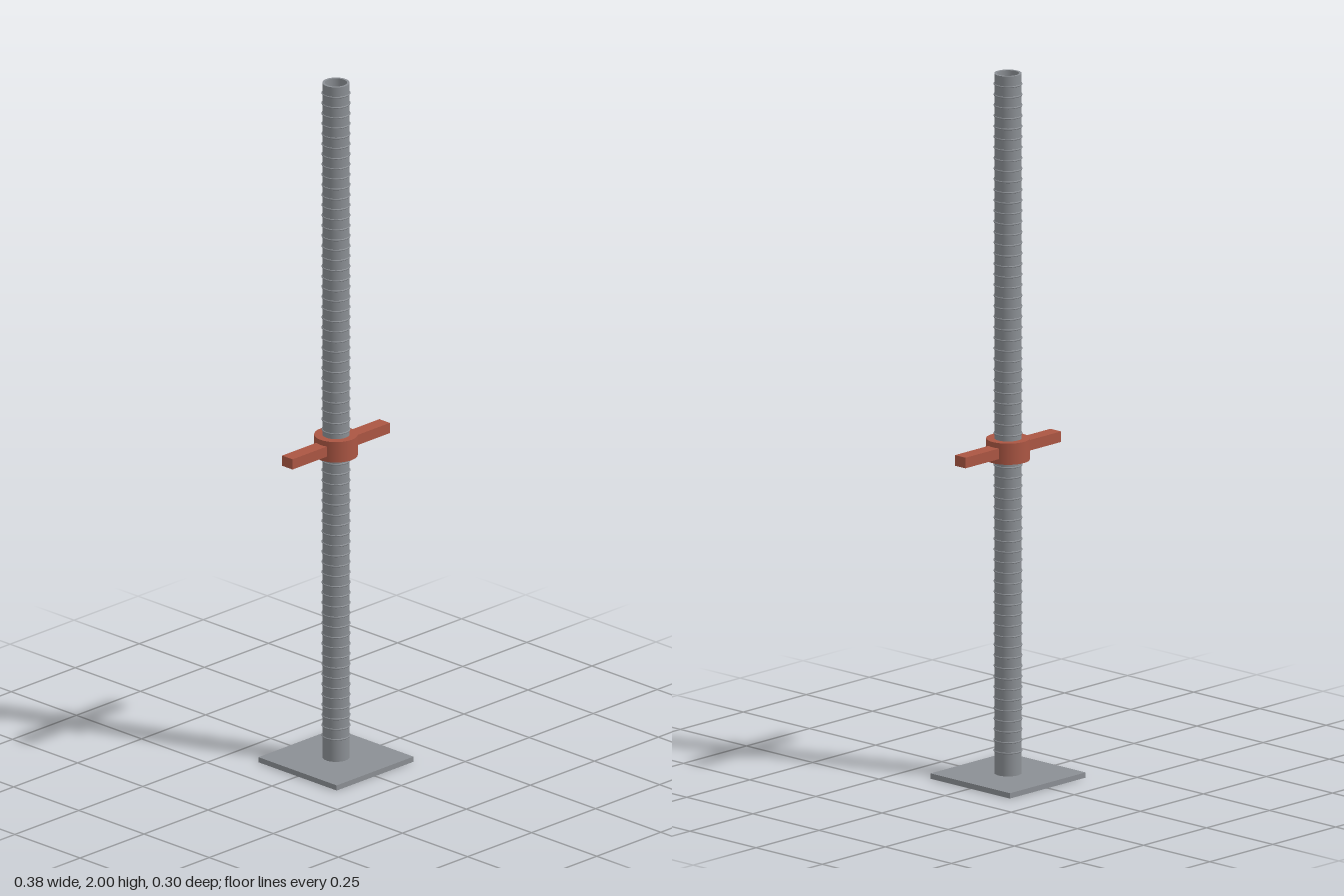
import * as THREE from 'three';

export function createModel() {
  const model = new THREE.Group();
  model.name = 'screwJack';
  const steel = new THREE.MeshStandardMaterial({ color: 0x8b8f94 });
  steel.name = 'galvanised steel';
  const red = new THREE.MeshStandardMaterial({ color: 0xab5643 });
  red.name = 'red paint';

  const add = (name, geometry, material, x, y, z) => {
    const mesh = new THREE.Mesh(geometry, material);
    mesh.name = name;
    mesh.position.set(x, y, z);
    model.add(mesh);
    return mesh;
  };

  // Closed ring with a rectangular section, hard edges between its four walls
  const pipe = (name, outer, inner, y0, y1, material) => {
    const corners = [[outer, y0], [outer, y1], [inner, y1], [inner, y0]];
    const group = new THREE.Group();
    group.name = name;
    corners.forEach((a, i) => {
      const b = corners[(i + 1) % 4];
      const wall = new THREE.LatheGeometry([new THREE.Vector2(...a), new THREE.Vector2(...b)], 32);
      group.add(new THREE.Mesh(wall, material));
      group.children[i].name = `${name}Wall`;
    });
    model.add(group);
  };

  // Base plate and hollow spindle
  add('basePlate', new THREE.BoxGeometry(0.3, 0.015, 0.3), steel, 0, 0.0075, 0);
  pipe('spindle', 0.0375, 0.03, 0.015, 2, steel);

  // Thread ridges along the spindle
  const ridge = new THREE.TorusGeometry(0.0375, 0.0025, 6, 32).rotateX(Math.PI / 2);
  for (let y = 0.08; y < 1.98; y += 0.03) add('threadRidge', ridge, steel, 0, y, 0);

  // Adjusting nut with two handles
  pipe('adjustingNut', 0.06, 0.0375, 0.905, 0.965, red);
  for (const side of [-1, 1]) {
    add('nutHandle', new THREE.BoxGeometry(0.135, 0.03, 0.04), red, side * 0.1225, 0.935, 0);
  }
  return model;
}
